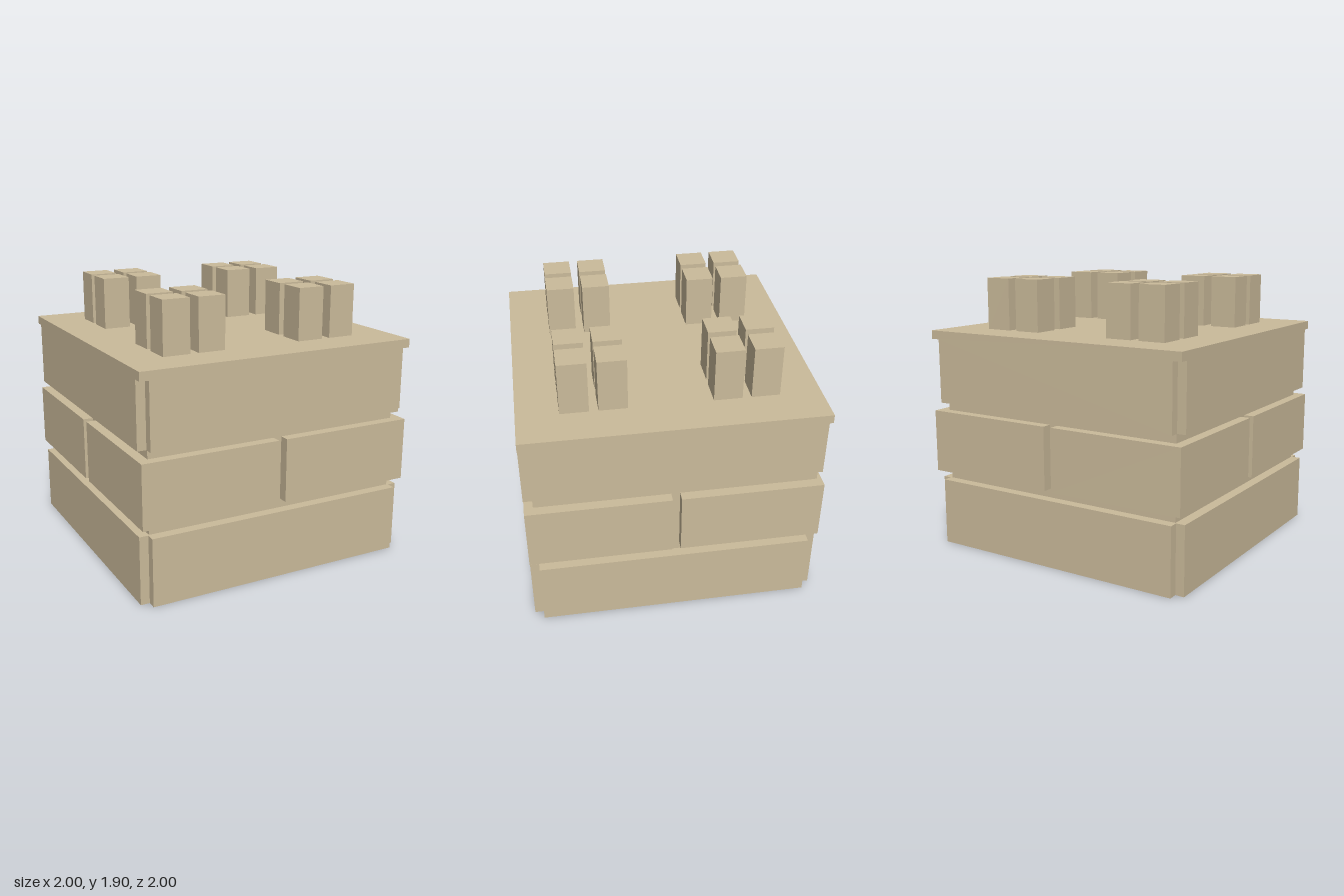
import * as THREE from 'three';

const material = new THREE.MeshStandardMaterial({ color: 0xcbbb9b, flatShading: true });

function add(parent, name, geometry, x, y, z) {
  const mesh = new THREE.Mesh(geometry, material);
  mesh.name = name;
  mesh.position.set(x, y, z);
  parent.add(mesh);
}

// Box given by its width, its bottom and top, and its centre in plan
function block(parent, name, width, bottom, top, x = 0, z = 0) {
  add(parent, name, new THREE.BoxGeometry(width, top - bottom, width), x, (bottom + top) / 2, z);
}

// Square course with a small square notch cut from each vertical corner
function notchedCourse(parent, name, bottom, top) {
  const o = 1, n = 0.938;
  const outline = [
    [n, -o], [n, -n], [o, -n], [o, n], [n, n], [n, o],
    [-n, o], [-n, n], [-o, n], [-o, -n], [-n, -n], [-n, -o],
  ].map(([x, y]) => new THREE.Vector2(x, y));
  const geometry = new THREE.ExtrudeGeometry(new THREE.Shape(outline), {
    depth: top - bottom, bevelEnabled: false,
  });
  geometry.rotateX(-Math.PI / 2);
  add(parent, name, geometry, 0, bottom, 0);
}

export function createModel() {
  const model = new THREE.Group();
  model.name = 'stoneBlock';

  // Recessed core seen in the joints
  block(model, 'core', 1.86, 0.4, 1.1);

  // Bottom and top courses, and the cap slab
  notchedCourse(model, 'bottomCourse', 0, 0.47);
  notchedCourse(model, 'topCourse', 1.035, 1.485);
  block(model, 'capSlab', 2, 1.485, 1.545);

  const middle = new THREE.Group();
  middle.name = 'middleCourse';
  const posts = new THREE.Group();
  posts.name = 'posts';
  model.add(middle, posts);

  for (const sx of [-1, 1]) for (const sz of [-1, 1]) {
    // Corner stone of the middle course
    block(middle, 'cornerStone', 0.97, 0.532, 0.972, sx * 0.515, sz * 0.515);

    // Cluster of four square posts
    const cluster = new THREE.Group();
    cluster.name = 'postCluster';
    cluster.position.set(sx * 0.5, 0, sz * 0.5);
    for (const dx of [-0.125, 0.125]) for (const dz of [-0.125, 0.125]) {
      block(cluster, 'post', 0.19, 1.545, 1.905, dx, dz);
    }
    posts.add(cluster);
  }
  return model;
}
